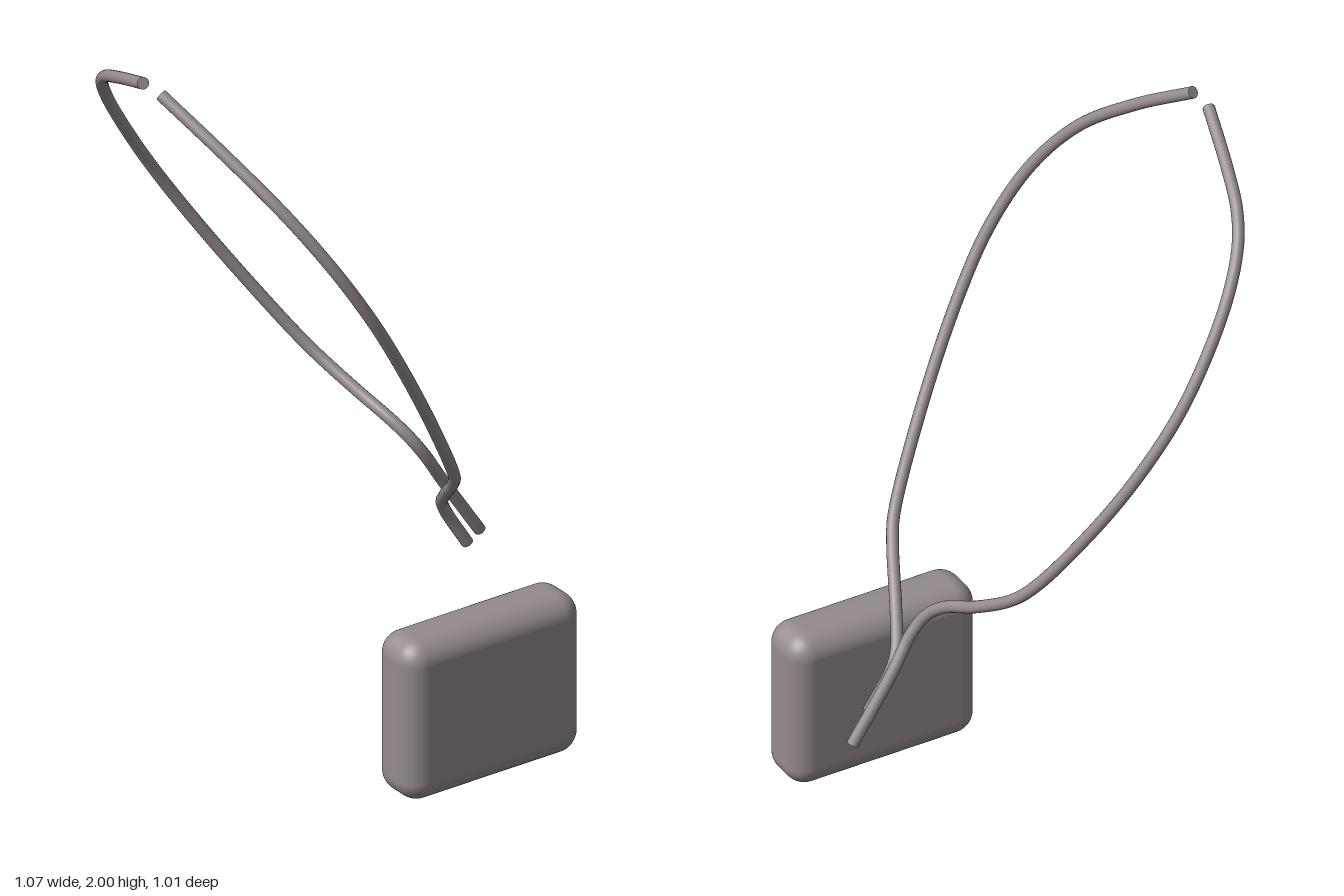
import * as THREE from 'three';
import { RoundedBoxGeometry } from 'three/addons/geometries/RoundedBoxGeometry.js';

const TOP_X = -0.522, TOP_Y = 1.99, RADIUS = 0.016;

// Wire lying in a tilted plane: x follows from y, the profile gives [z, y]
function makeWire(name, profile, slope, material) {
  const points = profile.map(([z, y]) => new THREE.Vector3(TOP_X + (TOP_Y - y) * slope, y, z));
  const curve = new THREE.CatmullRomCurve3(points);
  const wire = new THREE.Group();
  wire.name = name;
  const tube = new THREE.Mesh(new THREE.TubeGeometry(curve, 160, RADIUS, 16), material);
  tube.name = name + 'Tube';
  wire.add(tube);
  // Flat discs closing both ends
  for (const t of [0, 1]) {
    const cap = new THREE.Mesh(new THREE.CircleGeometry(RADIUS, 16), material);
    cap.name = name + (t ? 'LowerCap' : 'UpperCap');
    cap.position.copy(curve.getPointAt(t));
    const outward = curve.getTangentAt(t).multiplyScalar(t ? 1 : -1);
    cap.quaternion.setFromUnitVectors(new THREE.Vector3(0, 0, 1), outward);
    wire.add(cap);
  }
  return wire;
}

export function createModel() {
  const model = new THREE.Group();
  model.name = 'wireLoopAndBlock';
  const grey = new THREE.MeshStandardMaterial({ color: 0x948a8f });
  grey.name = 'warm grey';

  // Rounded block
  const block = new THREE.Mesh(new RoundedBoxGeometry(0.545, 0.452, 0.165, 6, 0.06), grey);
  block.name = 'block';
  block.position.set(0.2, 0.226, 0.42);
  model.add(block);

  // Front half of the loop
  model.add(makeWire('frontWire', [
    [0.047, 1.99], [0.22, 1.873], [0.37, 1.745], [0.458, 1.6], [0.489, 1.435], [0.47, 1.265],
    [0.4, 1.015], [0.305, 0.79], [0.262, 0.742], [0.13, 0.63], [0.063, 0.565],
    [0.046, 0.517], [0.05, 0.42],
  ], 0.605, grey));

  // Back half of the loop
  model.add(makeWire('backWire', [
    [-0.03, 1.99], [-0.2, 1.92], [-0.305, 1.868], [-0.374, 1.81], [-0.434, 1.71],
    [-0.477, 1.555], [-0.487, 1.42], [-0.46, 1.248], [-0.411, 1.1], [-0.337, 0.945],
    [-0.284, 0.882], [-0.178, 0.813], [-0.072, 0.76], [-0.03, 0.718], [-0.016, 0.665],
    [-0.026, 0.57], [-0.026, 0.395],
  ], 0.654, grey));

  return model;
}
